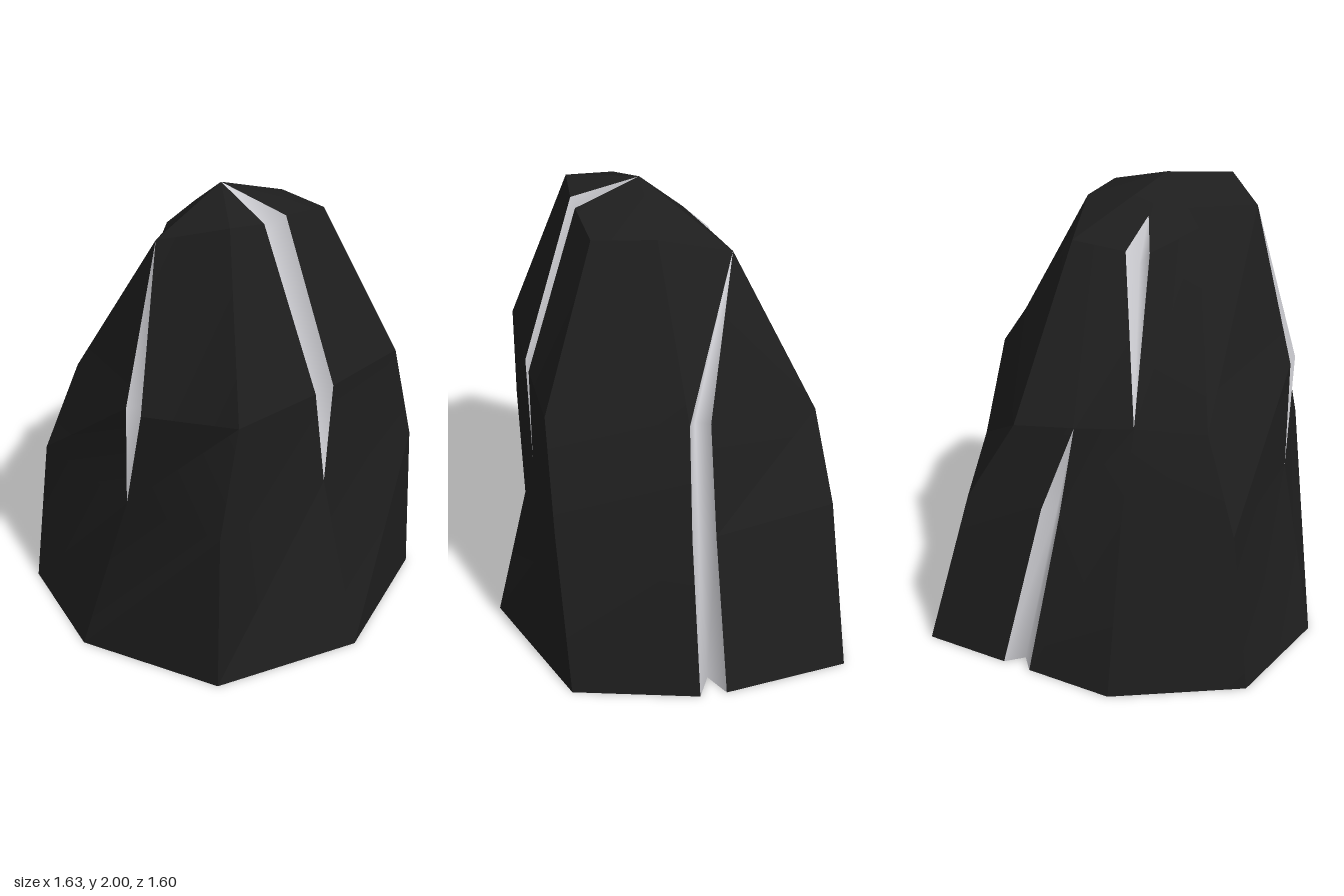
import * as THREE from 'three';
import { toCreasedNormals } from 'three/addons/utils/BufferGeometryUtils.js';

const APEX = [-0.1, 2, 0.09];
const BACK_SHOULDER = [0.2, 1.77, -0.23];

// A groove is a centre line of [x, y, z, halfWidth, depth, drop] rows, facing out at the
// given angle from +z; it becomes three columns: lip, floor, lip.
function groove(degrees, rows) {
  const a = THREE.MathUtils.degToRad(degrees);
  const s = Math.sin(a), c = Math.cos(a);
  const lip = (side) => rows.map(([x, y, z, w = 0]) => [x + side * c * w, y, z - side * s * w]);
  const floor = rows.map(([x, y, z, w = 0, d = 0, drop = 0]) => [x - s * d, y - drop, z - c * d]);
  return [lip(-1), floor, lip(1)];
}

// Edges sharper than the crease angle stay hard
function toMesh(name, positions, material, crease) {
  const geometry = new THREE.BufferGeometry();
  geometry.setAttribute('position', new THREE.Float32BufferAttribute(positions, 3));
  const mesh = new THREE.Mesh(toCreasedNormals(geometry, crease), material);
  mesh.name = name;
  return mesh;
}

export function createModel() {
  const black = new THREE.MeshStandardMaterial({ color: 0x1e1e1e });
  black.name = 'black stone';
  const pale = new THREE.MeshStandardMaterial({ color: 0xd0d0d5 });
  pale.name = 'pale crack';

  // Grooves, each row at base, lower ring, middle ring, shoulder and crown
  const frontGroove = groove(0, [
    [0.04, 0, 0.795], [0.01, 0.78, 0.6], [-0.01, 1.23, 0.6, 0.052, 0.09, 0.07],
    [-0.078, 1.92, 0.37, 0.06, 0.06, 0.09], APEX]);
  const leftGroove = groove(90, [
    [0.815, 0, -0.025, 0.058, 0.11], [0.71, 0.75, 0, 0.05, 0.1], [0.6, 1.22, -0.005, 0.043, 0.09, 0.04],
    BACK_SHOULDER, APEX]);
  const lowerBackGroove = groove(169, [
    [0.305, 0, -0.715, 0.065, 0.07], [0.17, 0.72, -0.615, 0.045, 0.055], [0.08, 1.09, -0.56],
    BACK_SHOULDER, APEX]);
  const upperBackGroove = groove(185, [
    [-0.14, 0, -0.8], [-0.14, 0.72, -0.62], [-0.16, 1.1, -0.515],
    [-0.075, 1.74, -0.215, 0.05, 0.03, 0.06], [-0.08, 1.86, -0.09]]);
  const rightGroove = groove(270, [
    [-0.82, 0, -0.03], [-0.65, 0.73, 0.1], [-0.65, 1.2, 0.165, 0.045, 0.08], [-0.48, 1.88, 0.13], APEX]);

  // Plain corner columns
  const frontLeft = [[0.67, 0, 0.56], [0.58, 0.77, 0.59], [0.44, 1.24, 0.59], [0.22, 1.88, 0.35], APEX];
  const left = [...leftGroove[0].slice(0, 3), [0.25, 1.87, 0.09], APEX];
  const backLeft = [[0.75, 0, -0.63], [0.55, 0.72, -0.6], [0.34, 1.07, -0.57], BACK_SHOULDER, APEX];
  const backRight = [[-0.67, 0, -0.56], [-0.59, 0.69, -0.53], [-0.45, 1.09, -0.45], [-0.28, 1.81, -0.04], APEX];
  const frontRight = [[-0.585, 0, 0.58], [-0.585, 0.77, 0.595], [-0.49, 1.25, 0.6], [-0.31, 1.95, 0.36], APEX];

  // Columns in order around the rock, starting at the front and turning to +x
  const parts = [frontGroove, [frontLeft], [left], leftGroove, [backLeft],
    lowerBackGroove, upperBackGroove, [backRight], rightGroove, [frontRight]];
  const columns = parts.flatMap((part) => part.map((points, i) => ({ points, cracked: i < part.length - 1 })));

  // Skin the columns, leaving out collapsed triangles
  const stone = [], cracks = [];
  const same = (p, q) => Math.hypot(p[0] - q[0], p[1] - q[1], p[2] - q[2]) < 1e-6;
  const triangle = (out, a, b, c) => {
    if (!same(a, b) && !same(b, c) && !same(c, a)) out.push(...a, ...b, ...c);
  };
  columns.forEach(({ points: p, cracked }, i) => {
    const q = columns[(i + 1) % columns.length].points;
    const out = cracked ? cracks : stone;
    for (let k = 0; k < p.length - 1; k++) {
      triangle(out, p[k], q[k], q[k + 1]);
      triangle(out, p[k], q[k + 1], p[k + 1]);
    }
    triangle(stone, [0, 0, 0], q[0], p[0]); // flat underside
  });

  const rock = new THREE.Group();
  rock.name = 'crackedRock';
  rock.add(toMesh('rockBody', stone, black, 0.31), toMesh('cracks', cracks, pale, Math.PI));
  return rock;
}
